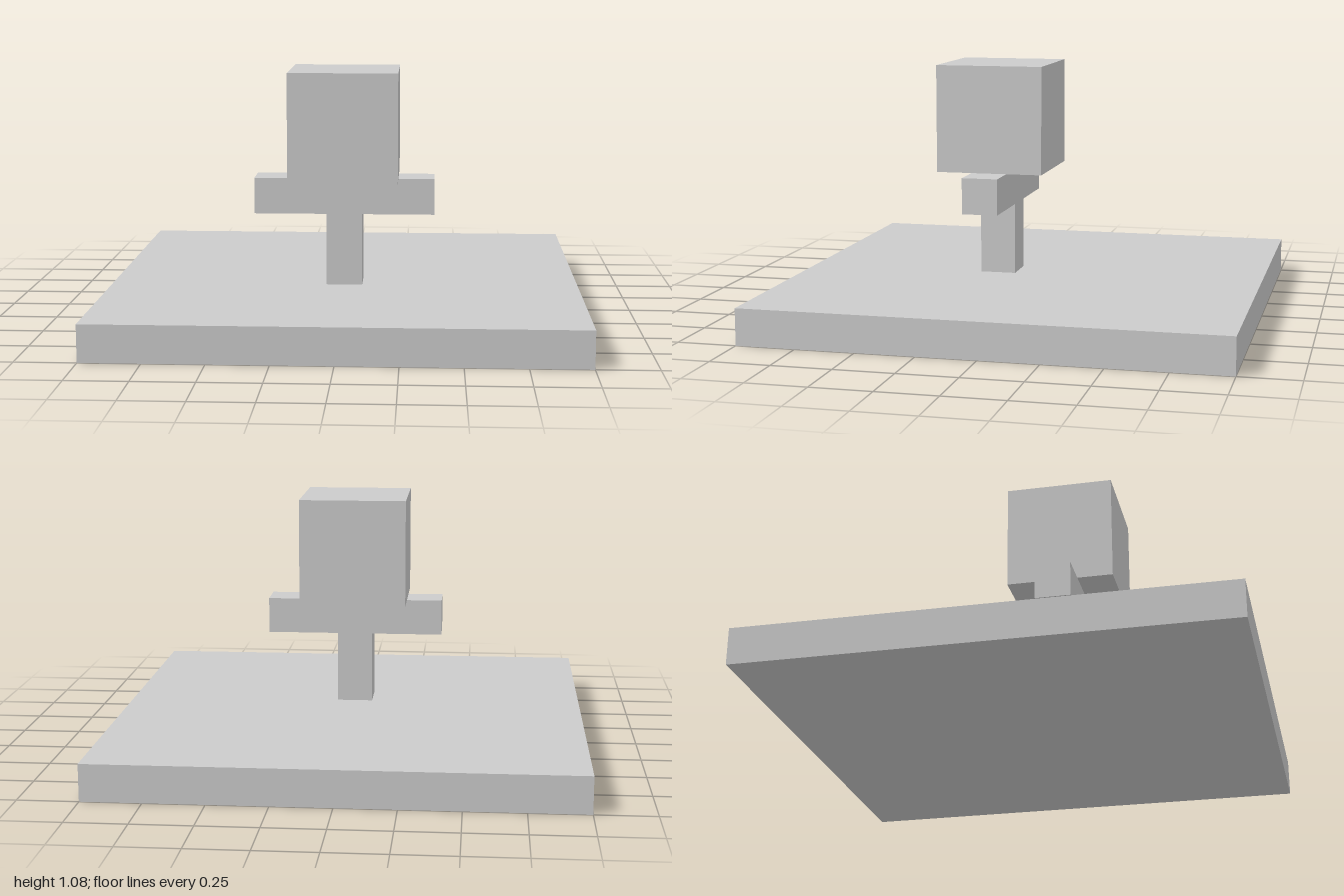
import * as THREE from 'three';

// Everything sits on a cubic grid, 13 cells across the base
const CELL = 2 / 13;

export function createModel() {
  const model = new THREE.Group();
  const material = new THREE.MeshStandardMaterial({ color: 0xcccccc, flatShading: true });

  // Box sized in cells; bottom is the height of its underside, z its centre
  function block(name, width, height, depth, bottom, z) {
    const geometry = new THREE.BoxGeometry(width * CELL, height * CELL, depth * CELL);
    const mesh = new THREE.Mesh(geometry, material);
    mesh.name = name;
    mesh.position.set(0, (bottom + height / 2) * CELL, z * CELL);
    model.add(mesh);
  }

  block('base', 13, 1, 13, 0, 0);
  block('post', 1, 2, 1, 1, 1);
  block('crossbar', 5, 1, 1, 3, 1);
  block('head', 3, 3, 3, 4, 1);

  return model;
}
